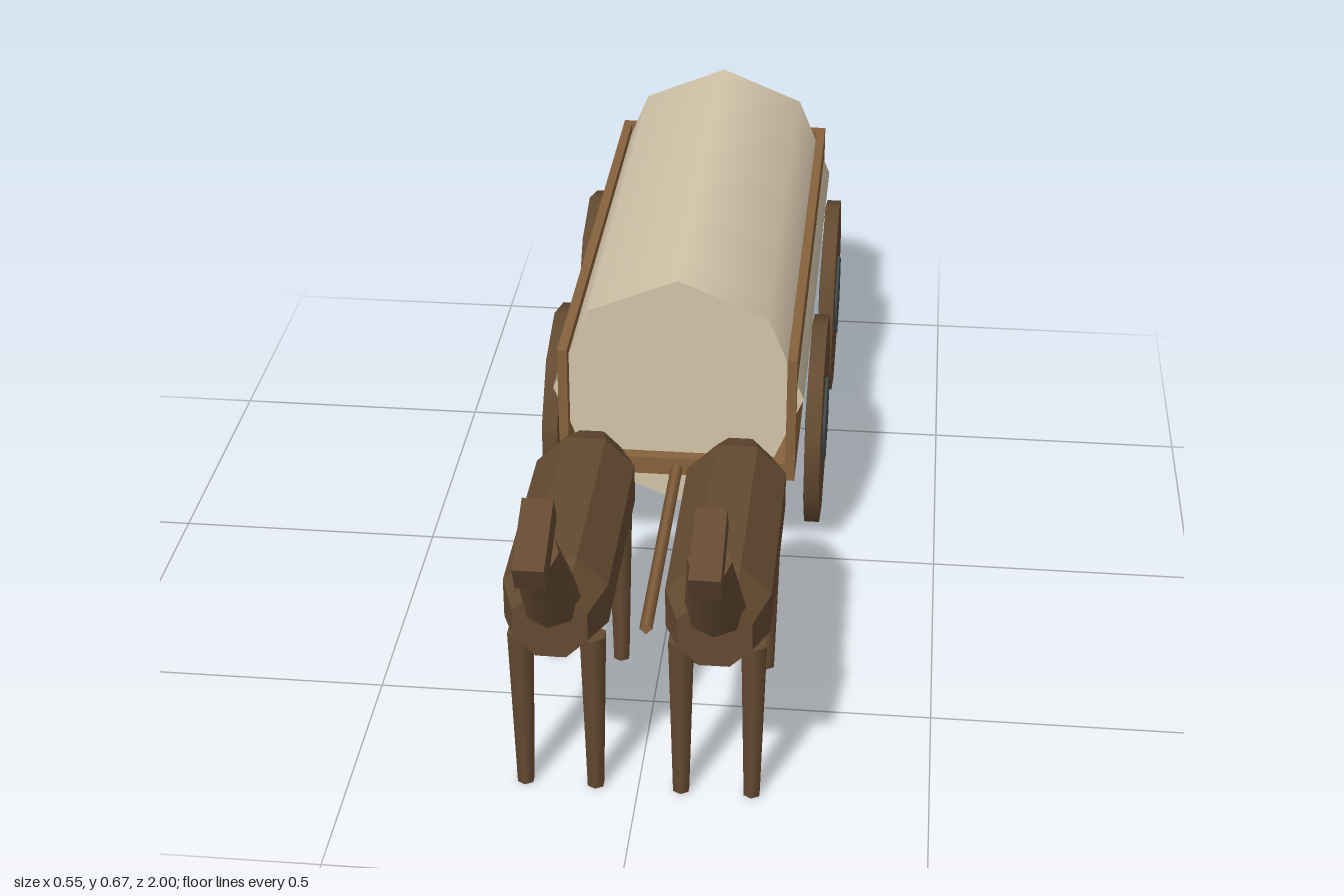
import * as THREE from 'three';

const mat = (name, color, flatShading = false) => {
  const m = new THREE.MeshStandardMaterial({ color, flatShading });
  m.name = name;
  return m;
};

export function createModel() {
  const wood = mat('wagon wood', 0x87623d);
  const dark = mat('dark brown', 0x644a31);
  const canvas = mat('canvas', 0xd3c5aa);
  const iron = mat('hub iron', 0x414a4c);

  const add = (parent, name, geometry, material, x = 0, y = 0, z = 0) => {
    const mesh = new THREE.Mesh(geometry, material);
    mesh.name = name;
    mesh.position.set(x, y, z);
    parent.add(mesh);
    return mesh;
  };
  const box = (w, h, d) => new THREE.BoxGeometry(w, h, d);

  // Tapered rod running from point a to point b
  const rod = (parent, name, a, b, ra, rb, sides, material) => {
    const p = new THREE.Vector3(...a), q = new THREE.Vector3(...b);
    const dir = q.clone().sub(p);
    const mesh = add(parent, name, new THREE.CylinderGeometry(rb, ra, dir.length(), sides), material);
    mesh.position.copy(p).add(q).multiplyScalar(0.5);
    mesh.quaternion.setFromUnitVectors(new THREE.Vector3(0, 1, 0), dir.normalize());
    return mesh;
  };

  const model = new THREE.Group();
  model.name = 'horseDrawnWagon';

  // Wagon bed: floor, two sides and tailboard, open at the front
  const wagon = new THREE.Group();
  wagon.name = 'wagon';
  model.add(wagon);
  add(wagon, 'floor', box(0.45, 0.036, 1.08), wood, 0, 0.243, -0.46);
  add(wagon, 'tailboard', box(0.45, 0.26, 0.02), wood, 0, 0.355, -0.99);
  for (const s of [-1, 1])
    add(wagon, 'sideBoard', box(0.018, 0.26, 1.08), wood, s * 0.216, 0.355, -0.46);

  // Canvas cover: eight-sided roll through the bed
  const cover = new THREE.CylinderGeometry(0.238, 0.238, 1.025, 8).rotateX(Math.PI / 2);
  add(wagon, 'canvasCover', cover, canvas, 0, 0.39, -0.4575);

  // Draught pole
  const pole = new THREE.CylinderGeometry(0.0115, 0.0115, 0.545, 4).rotateX(Math.PI / 2);
  add(wagon, 'pole', pole, wood, 0, 0.241, 0.343);

  // Wheels with hubs, a corner of each pointing up
  const disc = (r, w, sides) =>
    new THREE.CylinderGeometry(r, r, w, sides, 1, false, Math.PI / 2).rotateZ(Math.PI / 2);
  for (const s of [-1, 1])
    for (const z of [-0.19, -0.727]) {
      add(wagon, 'wheel', disc(0.209, 0.03, 10), dark, s * 0.255, 0.21, z);
      add(wagon, 'hub', disc(0.094, 0.04, 6), iron, s * 0.255, 0.21, z);
    }

  // Two horses
  const hide = mat('horse hide', 0x644a31, true);
  const profile = [[0, 0.272], [0.056, 0.272], [0.095, 0.36], [0.095, 0.74], [0.067, 0.812], [0, 0.812]]
    .map(([r, z]) => new THREE.Vector2(r, z));
  for (const s of [-1, 1]) {
    const horse = new THREE.Group();
    horse.name = s > 0 ? 'leftHorse' : 'rightHorse';
    horse.position.x = s * 0.135;
    model.add(horse);

    const body = new THREE.LatheGeometry(profile, 8, Math.PI / 8).rotateX(Math.PI / 2);
    add(horse, 'body', body, hide, 0, 0.376, 0);
    rod(horse, 'neck', [0, 0.412, 0.787], [0, 0.588, 0.914], 0.051, 0.035, 8, dark);
    add(horse, 'head', box(0.05, 0.055, 0.13), dark, 0, 0.614, 0.933).rotation.x = 0.46;
    rod(horse, 'tail', [0, 0.18, 0.168], [0, 0.358, 0.272], 0.016, 0.016, 6, dark);
    for (const x of [-0.061, 0.061])
      for (const z of [0.743, 0.367])
        rod(horse, 'leg', [x, 0, z], [x, 0.315, z], 0.0155, 0.024, 6, dark);
  }
  return model;
}
